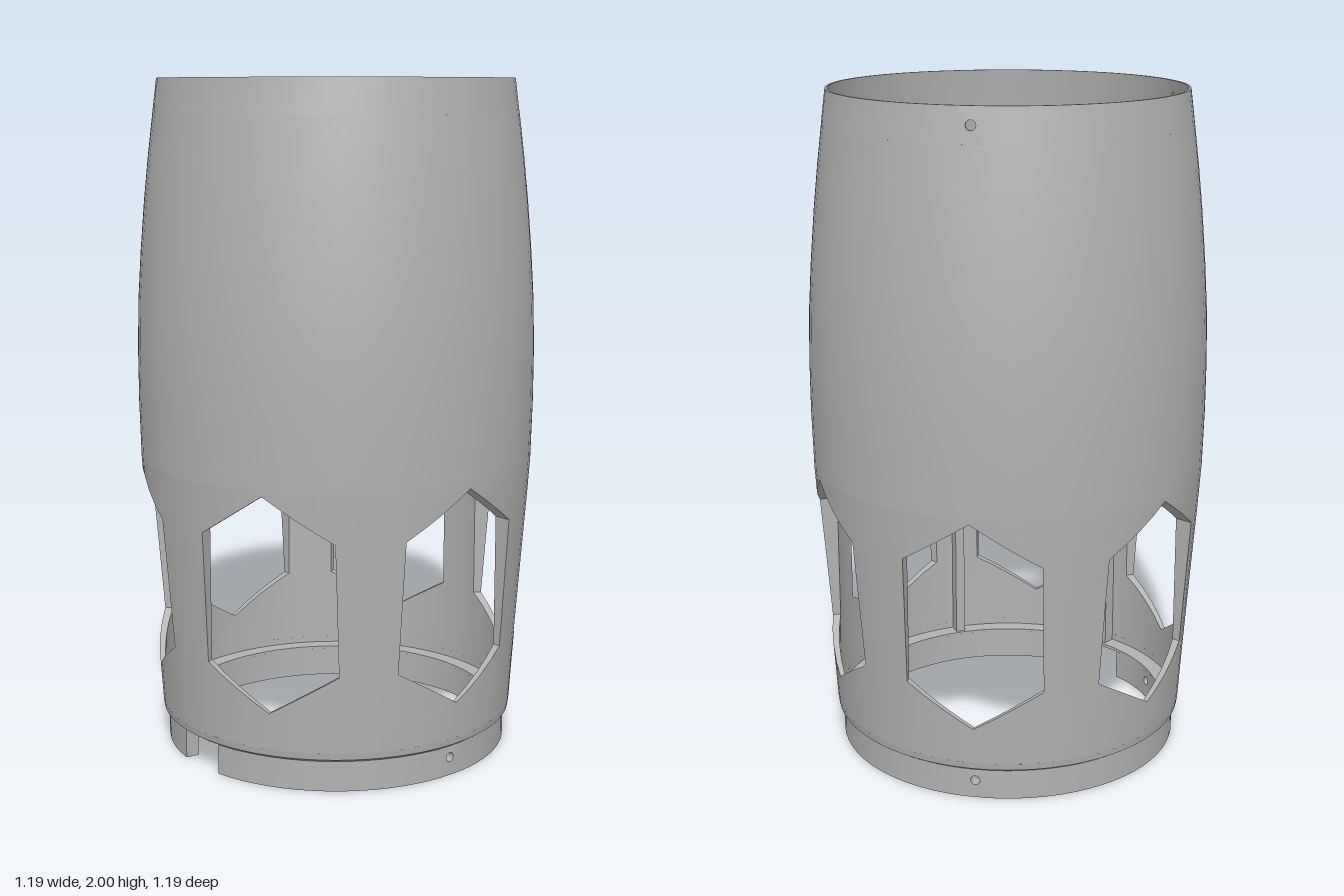
import * as THREE from 'three';
import { mergeGeometries, mergeVertices, toCreasedNormals } from 'three/addons/utils/BufferGeometryUtils.js';

const DEG = Math.PI / 180, SECTOR = 60 * DEG;
const HALF = 0.2;                       // half width of a window
const winTop = x => 0.87 - 0.65 * Math.abs(x);
const winBottom = x => 0.23 + 0.6 * Math.abs(x);

// Radius profiles as [height, radius] pairs
const OUTER = [[0.12, 0.538], [0.23, 0.545], [0.35, 0.553], [0.55, 0.567], [0.74, 0.581], [0.88, 0.59],
  [1.05, 0.594], [1.2, 0.594], [1.35, 0.59], [1.5, 0.58], [1.65, 0.567], [1.78, 0.553], [1.9, 0.538], [2, 0.525]];
const outerR = y => {
  let i = 1;
  while (i < OUTER.length - 1 && y > OUTER[i][0]) i++;
  const [y0, r0] = OUTER[i - 1], [y1, r1] = OUTER[i];
  return r0 + (r1 - r0) * (y - y0) / (y1 - y0);
};
const innerR = y => (y <= 0.885 ? 0.53 : outerR(y) - 0.007);
const polar = (r, a, y) => [r * Math.sin(a), y, r * Math.cos(a)];

// Grid surface facing u cross v
function grid(nu, nv, fn) {
  const pos = [], idx = [];
  for (let j = 0; j <= nv; j++) for (let i = 0; i <= nu; i++) pos.push(...fn(i, j));
  for (let j = 0; j < nv; j++) for (let i = 0; i < nu; i++) {
    const a = j * (nu + 1) + i, b = a + nu + 1;
    idx.push(a, a + 1, b + 1, a, b + 1, b);
  }
  const g = new THREE.BufferGeometry();
  g.setAttribute('position', new THREE.Float32BufferAttribute(pos, 3));
  g.setIndex(idx);
  return g;
}

// Row heights of the lower and upper wall for a column at offset x from a window's centre
const rows = x => {
  const lo = winBottom(x), hi = winTop(x);
  return {
    below: [0.12, (0.12 + lo) / 2, lo],
    beside: [lo, lo + (hi - lo) / 3, hi - (hi - lo) / 3, hi],
    above: [hi, 0.88, 0.89, 1.05, 1.2, 1.35, 1.5, 1.65, 1.78, 1.9],
  };
};

// One skin of the barrel wall, with six window openings
function skin(radius, flip) {
  const parts = [], NW = 8, NP = 4;
  for (let s = 0; s < 6; s++) {
    for (const part of ['below', 'above']) {
      parts.push(grid(NW, rows(0)[part].length - 1, (i, j) => {
        const x = HALF * (2 * (flip ? NW - i : i) / NW - 1);
        const y = rows(x)[part][j], r = radius(y);
        return polar(r, s * SECTOR + Math.asin(x / r), y);
      }));
    }
    for (const part of ['below', 'beside', 'above']) {
      const ys = rows(HALF)[part];
      parts.push(grid(NP, ys.length - 1, (i, j) => {
        const t = (flip ? NP - i : i) / NP, r = radius(ys[j]), e = Math.asin(HALF / r);
        return polar(r, s * SECTOR + e + (SECTOR - 2 * e) * t, ys[j]);
      }));
    }
  }
  const g = mergeVertices(mergeGeometries(parts), 1e-4);
  g.computeVertexNormals();
  return g;
}

// Thickness of the wall around one window
function windowFrame(s) {
  const corners = [[0, winBottom(0)], [HALF, winBottom(HALF)], [HALF, winTop(HALF)],
    [0, winTop(0)], [-HALF, winTop(HALF)], [-HALF, winBottom(HALF)]];
  const N = 4;
  const g = grid(6 * N, 1, (i, j) => {
    const k = Math.floor(i / N) % 6, t = (i % N) / N;
    const p = corners[k], q = corners[(k + 1) % 6];
    const x = p[0] + (q[0] - p[0]) * t, y = p[1] + (q[1] - p[1]) * t;
    const r = j ? innerR(y) : outerR(y);
    return polar(r, s * SECTOR + Math.asin(x / r), y);
  });
  return toCreasedNormals(g, 0.4);
}

// Curved plate between two angles, optionally pierced by a round hole
function plate(a0, a1, y0, y1, rIn, rOut, hole) {
  const mid = (a0 + a1) / 2, w = a1 - a0, h = y1 - y0;
  let g;
  if (hole) {
    const k = 0.52;                     // converts angle to length
    const shape = new THREE.Shape([[-1, -1], [1, -1], [1, 1], [-1, 1]]
      .map(([x, y]) => new THREE.Vector2(x * w * k / 2, y * h / 2)));
    shape.holes.push(new THREE.Path().absarc(0, hole.y - (y0 + y1) / 2, hole.r, 0, Math.PI * 2, true));
    g = new THREE.ExtrudeGeometry(shape, { depth: 1, bevelEnabled: false, curveSegments: 14 });
    g.scale(1 / k, 1, 1).translate(0, 0, -0.5);
  } else {
    g = new THREE.BoxGeometry(w, h, 1, Math.max(1, Math.ceil(w / (5 * DEG))), 1, 1);
  }
  const p = g.attributes.position;
  for (let i = 0; i < p.count; i++) {
    const y = p.getY(i) + (y0 + y1) / 2;
    const r = rIn(y) + (rOut(y) - rIn(y)) * (p.getZ(i) + 0.5);
    p.setXYZ(i, ...polar(r, mid + p.getX(i), y));
  }
  g.computeVertexNormals();
  return g;
}

export function createModel() {
  const model = new THREE.Group();
  const grey = new THREE.MeshStandardMaterial({ color: 0xb2b2b2 });
  grey.name = 'grey';
  const add = (name, geometry, parent = model) => {
    const m = new THREE.Mesh(geometry, grey);
    m.name = name;
    parent.add(m);
    return m;
  };
  const group = name => {
    const g = new THREE.Group();
    g.name = name;
    model.add(g);
    return g;
  };

  // Barrel wall
  add('outerWall', skin(outerR, false));
  add('innerWall', skin(innerR, true));
  const frames = group('windowFrames');
  for (let s = 0; s < 6; s++) add('windowFrame', windowFrame(s), frames);

  // Ring of plates with pin holes and an optional gap
  const ring = (name, holes, gap, y0, y1, rIn, rOut, hole) => {
    const g = group(name), e = 4;
    const cuts = holes.map(a => [a - e, a + e, true]);
    if (gap) cuts.push([gap[0], gap[1], false]);
    cuts.sort((p, q) => p[0] - q[0]);
    cuts.forEach(([a, b, pierced], i) => {
      const next = i + 1 < cuts.length ? cuts[i + 1][0] : cuts[0][0] + 360;
      if (pierced) add('piercedPlate', plate(a * DEG, b * DEG, y0, y1, rIn, rOut, hole), g);
      add('ringPlate', plate(b * DEG, next * DEG, y0, y1, rIn, rOut), g);
    });
  };
  ring('topRim', [120, 240], null, 1.9, 2, innerR, outerR, { y: 1.95, r: 0.014 });
  ring('baseRing', [0, 120, 240], [261, 279], 0, 0.092, () => 0.48, () => 0.52, { y: 0.055, r: 0.014 });

  // Collar with the inner ledge between base and barrel
  const profile = [[0.48, 0.09], [0.52, 0.09], [0.535, 0.1], [0.538, 0.12], [0.53, 0.12],
    [0.53, 0.1], [0.48, 0.1], [0.48, 0.09]].map(([r, y]) => new THREE.Vector2(r, y));
  add('collar', toCreasedNormals(new THREE.LatheGeometry(profile, 72), 0.3));

  // Two upright guide ribs inside the wall
  for (const a of [270, 330]) {
    const rib = add('guideRib', new THREE.BoxGeometry(0.03, 0.7, 0.045));
    rib.position.set(...polar(0.5125, a * DEG, 0.45));
    rib.rotation.y = a * DEG;
  }
  return model;
}
